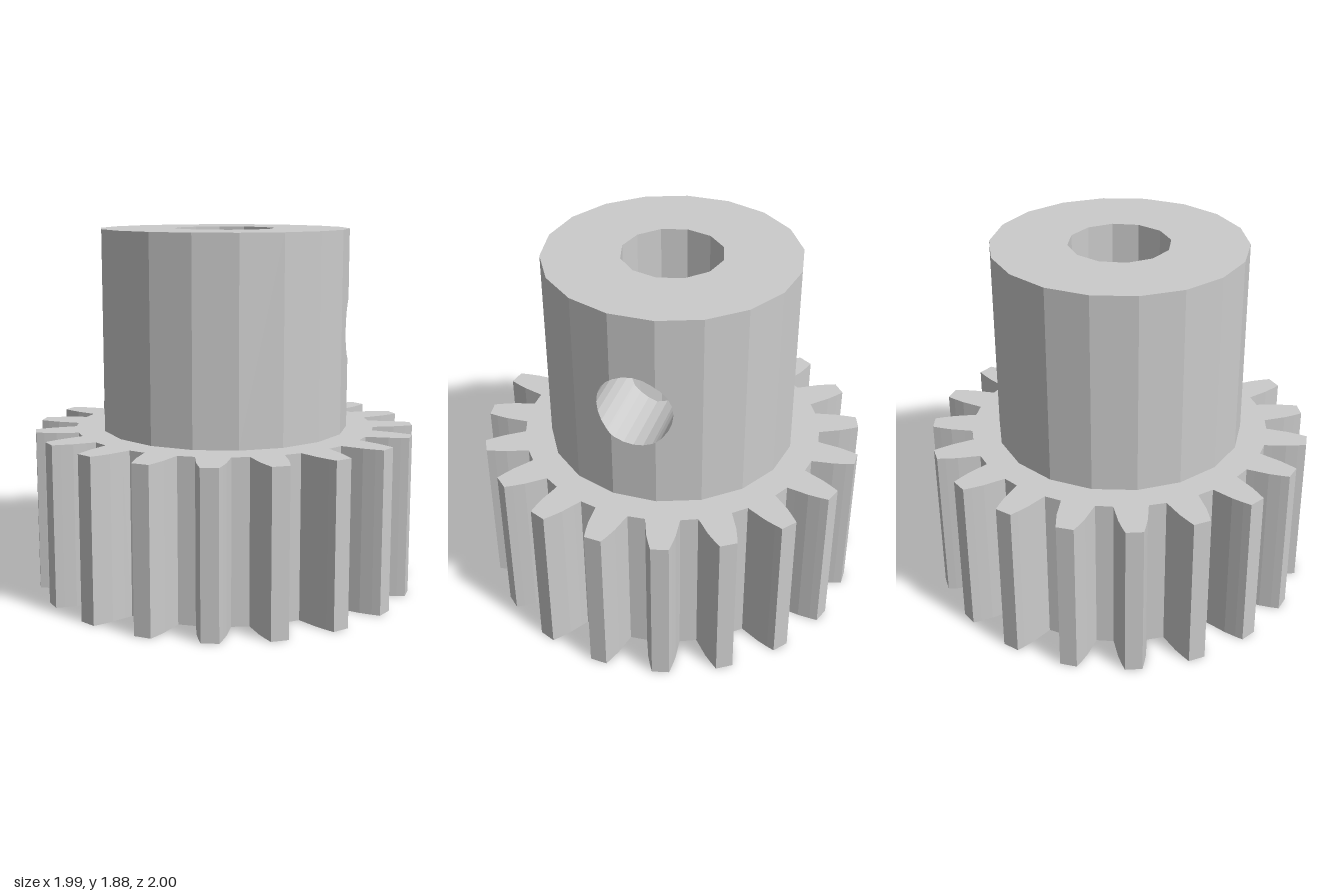
import * as THREE from 'three';

const TEETH = 19, GEAR_H = 0.84, TOP = 1.88;
const HUB_R = 0.648, HUB_SIDES = 18, BORE_R = 0.26, BORE_SIDES = 12;
const HOLE_R = 0.193, HOLE_Y = 1.36;
const TURN = THREE.MathUtils.degToRad(4); // hub, bore and screw hole share this turn
const deg = THREE.MathUtils.degToRad;

const material = new THREE.MeshStandardMaterial({ color: 0xcccccc, flatShading: true });

const polar = (r, a) => new THREE.Vector2(r * Math.cos(a), r * Math.sin(a));
const ring = (r, n, start) =>
  Array.from({ length: n }, (_, i) => polar(r, start + (i / n) * Math.PI * 2));

function addMesh(group, geometry, name) {
  const mesh = new THREE.Mesh(geometry, material);
  mesh.name = name;
  group.add(mesh);
}

// Collects four-cornered faces into one flat-shaded geometry
class Faces {
  constructor() { this.p = []; }
  quad(a, b, c, d, flip = false) {
    const order = flip ? [a, c, b, a, d, c] : [a, b, c, a, c, d];
    order.forEach((v) => this.p.push(...v));
  }
  build() {
    const g = new THREE.BufferGeometry();
    g.setAttribute('position', new THREE.Float32BufferAttribute(this.p, 3));
    g.computeVertexNormals();
    return g;
  }
}

// Toothed wheel with bore
function gearGeometry() {
  const flank = [[0.787, 0.086], [0.83, 0.08], [0.9, 0.071], [0.96, 0.056], [1.0, 0.044]];
  const pts = [];
  for (let i = 0; i < TEETH; i++) {
    const a = (i / TEETH) * Math.PI * 2 - deg(1.3);
    flank.forEach(([r, w]) => pts.push(polar(r, a - w / r)));
    [...flank].reverse().forEach(([r, w]) => pts.push(polar(r, a + w / r)));
  }
  const shape = new THREE.Shape(pts);
  shape.holes.push(new THREE.Path(ring(BORE_R, BORE_SIDES, TURN)));
  return new THREE.ExtrudeGeometry(shape, { depth: GEAR_H, bevelEnabled: false }).rotateX(-Math.PI / 2);
}

// Corners of a prism wall facing +x: angles from -span to +span
function prismX(r, step, span) {
  const corners = [];
  for (let a = -span; a <= span + 1e-6; a += step) corners.push([r * Math.sin(a), r * Math.cos(a)]);
  return (z) => {
    let i = 0;
    while (i < corners.length - 2 && z > corners[i + 1][0]) i++;
    const [z0, x0] = corners[i], [z1, x1] = corners[i + 1];
    return x0 + ((x1 - x0) * (z - z0)) / (z1 - z0);
  };
}

const holeHalf = (z) => Math.sqrt(Math.max(0, HOLE_R * HOLE_R - z * z));

// Prism wall pierced by the screw hole inside the window of +-span
function piercedWall(r, sides, span, cuts, inward) {
  const f = new Faces(), step = (Math.PI * 2) / sides;
  const x = prismX(r, step, span), edge = r * Math.sin(span);
  const zs = [edge, ...cuts.filter((z) => Math.abs(z) < edge - 1e-4), -edge];
  const at = (z, y) => [x(z), y, z];
  for (let i = 0; i < zs.length - 1; i++) {
    const a = zs[i], b = zs[i + 1], ha = holeHalf(a), hb = holeHalf(b);
    f.quad(at(a, GEAR_H), at(b, GEAR_H), at(b, HOLE_Y - hb), at(a, HOLE_Y - ha), inward);
    f.quad(at(a, HOLE_Y + ha), at(b, HOLE_Y + hb), at(b, TOP), at(a, TOP), inward);
  }
  // plain panels around the rest
  const n = sides - Math.round((2 * span) / step);
  const corner = (i, y) => {
    const a = span + i * step;
    return [r * Math.cos(a), y, -r * Math.sin(a)];
  };
  for (let i = 0; i < n; i++)
    f.quad(corner(i, GEAR_H), corner(i + 1, GEAR_H), corner(i + 1, TOP), corner(i, TOP), inward);
  return f.build();
}

// Round passage from the hub's outside to the bore
function tunnelGeometry(cuts, outerX, innerX) {
  const f = new Faces();
  const zs = cuts.filter((z) => Math.abs(z) <= HOLE_R + 1e-6);
  for (let i = 0; i < zs.length - 1; i++) {
    for (const s of [-1, 1]) {
      const p = (x, z) => [x(z), HOLE_Y + s * holeHalf(z), z];
      const a = zs[i], b = zs[i + 1];
      f.quad(p(outerX, a), p(outerX, b), p(innerX, b), p(innerX, a), s > 0);
    }
  }
  return f.build();
}

export function createModel() {
  const model = new THREE.Group();
  model.name = 'pinionGear';
  addMesh(model, gearGeometry(), 'toothedWheel');

  const hub = new THREE.Group();
  hub.name = 'hub';
  hub.rotation.y = TURN;
  model.add(hub);

  // z positions where the pierced walls are sliced, from +z to -z
  const cuts = [];
  for (let i = 0; i <= 12; i++) cuts.push(HOLE_R * Math.cos((i / 12) * Math.PI));
  for (const a of [-10, 10]) cuts.push(HUB_R * Math.sin(deg(a)));
  for (const a of [-30, 30]) cuts.push(BORE_R * Math.sin(deg(a)));
  cuts.sort((a, b) => b - a);

  const hubSpan = deg(30), boreSpan = deg(60);
  addMesh(hub, piercedWall(HUB_R, HUB_SIDES, hubSpan, cuts, false), 'hubWall');
  addMesh(hub, piercedWall(BORE_R, BORE_SIDES, boreSpan, cuts, true), 'boreWall');
  addMesh(hub, tunnelGeometry(cuts, prismX(HUB_R, deg(20), hubSpan), prismX(BORE_R, deg(30), boreSpan)), 'screwHole');

  const cap = new THREE.Shape(ring(HUB_R, HUB_SIDES, deg(10)));
  cap.holes.push(new THREE.Path(ring(BORE_R, BORE_SIDES, 0)));
  addMesh(hub, new THREE.ShapeGeometry(cap).rotateX(-Math.PI / 2).translate(0, TOP, 0), 'hubTop');
  return model;
}
